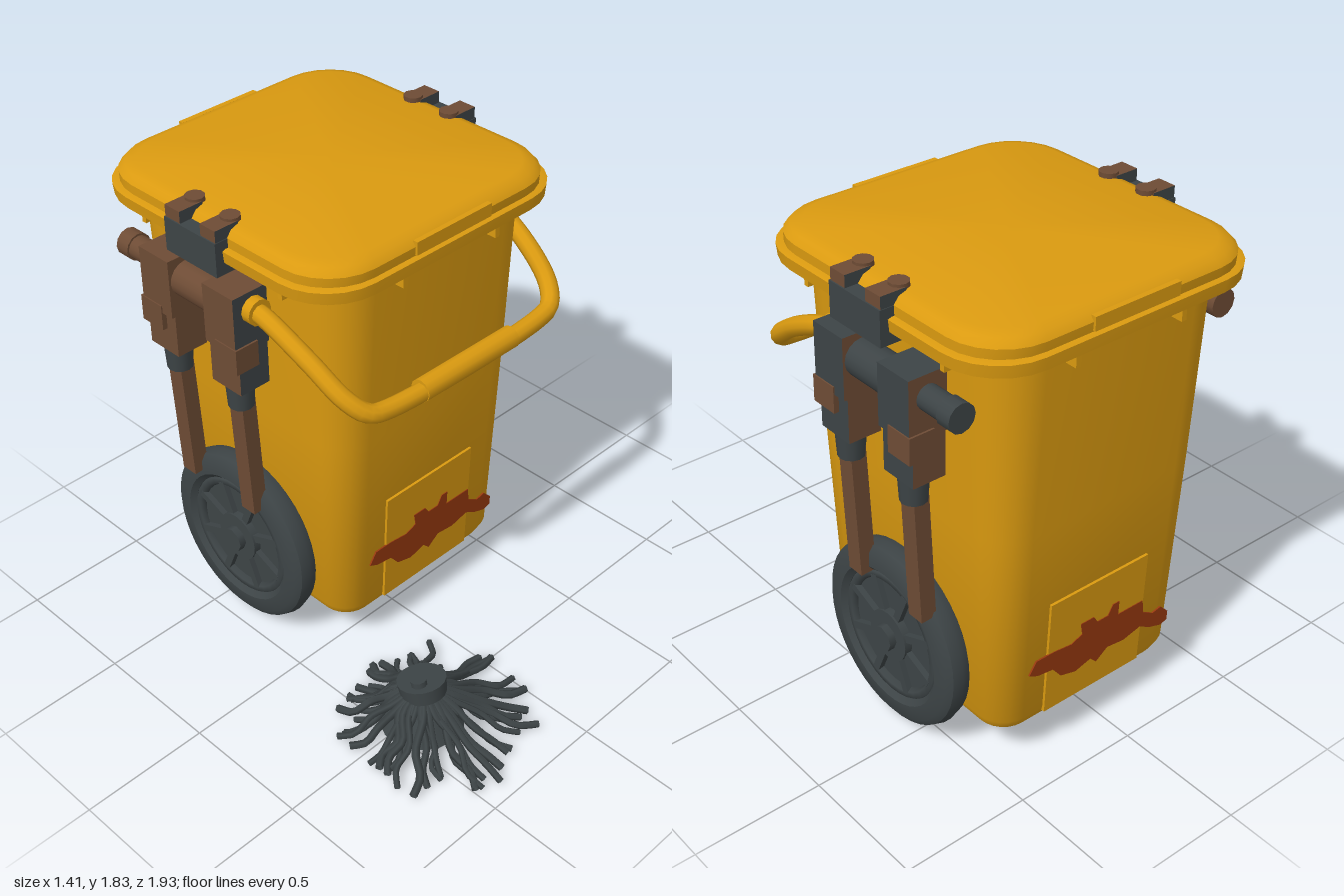
import * as THREE from 'three';
import { toCreasedNormals } from 'three/addons/utils/BufferGeometryUtils.js';

const yellow = new THREE.MeshStandardMaterial({ color: 0xda9a10 });
const dark = new THREE.MeshStandardMaterial({ color: 0x3d4446, side: THREE.DoubleSide });
const brown = new THREE.MeshStandardMaterial({ color: 0x6e4c35 });
const stainRed = new THREE.MeshStandardMaterial({ color: 0x98390f });
yellow.name = 'yellow plastic';
dark.name = 'dark rubber';
brown.name = 'rusty brown';
stainRed.name = 'red stain';

const CX = 0.07, CZ = -0.38;

function add(parent, name, geo, mat, x = 0, y = 0, z = 0) {
  const m = new THREE.Mesh(geo, mat);
  m.name = name;
  m.position.set(x, y, z);
  parent.add(m);
  return m;
}
const box = (w, h, d) => new THREE.BoxGeometry(w, h, d);
const cylX = (r, len, n = 16) => new THREE.CylinderGeometry(r, r, len, n).rotateZ(Math.PI / 2);
const cylZ = (r, len, n = 16) => new THREE.CylinderGeometry(r, r, len, n).rotateX(Math.PI / 2);

// Rounded-rectangle sections [y, halfX, halfZ, cornerRadius] lofted upward and capped
function loft(sections, n = 6) {
  const pos = [], idx = [], count = 4 * (n + 1);
  for (const [y, hx, hz, r] of sections)
    for (let c = 0; c < 4; c++)
      for (let i = 0; i <= n; i++) {
        const a = (c + i / n) * Math.PI / 2;
        const sx = c === 0 || c === 3 ? 1 : -1, sz = c < 2 ? 1 : -1;
        pos.push(sx * (hx - r) + r * Math.cos(a), y, sz * (hz - r) + r * Math.sin(a));
      }
  for (let s = 0; s < sections.length - 1; s++)
    for (let i = 0; i < count; i++) {
      const a = s * count + i, b = s * count + (i + 1) % count;
      idx.push(a, a + count, b, b, a + count, b + count);
    }
  const last = sections.length - 1, base = pos.length / 3;
  pos.push(0, sections[0][0], 0, 0, sections[last][0], 0);
  for (let i = 0; i < count; i++) {
    const j = (i + 1) % count;
    idx.push(base, i, j, base + 1, last * count + j, last * count + i);
  }
  const g = new THREE.BufferGeometry();
  g.setAttribute('position', new THREE.Float32BufferAttribute(pos, 3));
  g.setIndex(idx);
  return toCreasedNormals(g, 0.6);
}

// Spoked wheel with its axle along x; s is the side it faces
function makeWheel(s) {
  const wheel = new THREE.Group();
  const profile = [[0.25, -0.035], [0.27, -0.055], [0.325, -0.052], [0.35, -0.035], [0.36, 0],
    [0.35, 0.035], [0.325, 0.052], [0.27, 0.055], [0.25, 0.035], [0.25, -0.035]]
    .map(([r, t]) => new THREE.Vector2(r, t));
  add(wheel, 'tire', toCreasedNormals(new THREE.LatheGeometry(profile, 40).rotateZ(Math.PI / 2), 0.6), dark);
  add(wheel, 'wheelDisc', cylX(0.255, 0.035, 32), dark);
  add(wheel, 'wheelRing', new THREE.TorusGeometry(0.235, 0.022, 6, 32).rotateY(Math.PI / 2), dark, s * 0.02);
  for (let i = 0; i < 8; i++) {
    const spoke = box(0.08, 0.14, 0.03).translate(0, 0.16, 0).rotateX((i + 0.5) * Math.PI / 4);
    add(wheel, 'spoke', spoke, dark);
  }
  add(wheel, 'hub', cylX(0.1, 0.095, 20), dark);
  add(wheel, 'hubBolt', cylX(0.05, 0.04, 8), dark, s * 0.055);
  return wheel;
}

// Fork, housings, crossbar, lid clip and wheel of one side
function makeSide(s) {
  const side = new THREE.Group();
  side.name = s > 0 ? 'leftWheelAssembly' : 'rightWheelAssembly';
  const wheel = makeWheel(s);
  wheel.name = 'wheel';
  wheel.position.set(s * 0.48, 0.38, 0);
  side.add(wheel);
  const outer = s > 0 ? dark : brown;
  for (const [z, front] of [[0.125, true], [-0.21, false]]) {
    const faces = [outer, outer, outer, dark, front ? dark : brown, brown];
    const leg = add(side, 'forkLeg', box(0.062, 0.58, 0.07), brown, s * 0.55, 0.9, z);
    leg.rotation.z = -s * 0.05;
    add(side, 'forkSleeve', new THREE.CylinderGeometry(0.055, 0.048, 0.12, 12), dark, s * 0.565, 1.16, z);
    add(side, 'lowerHousing', box(0.13, 0.18, 0.15), faces, s * 0.56, 1.29, z);
    add(side, 'housingCollar', box(0.1, 0.1, 0.11), brown, s * 0.595, 1.35, z + (front ? 0.03 : -0.03));
    add(side, 'upperHousing', box(0.15, 0.23, 0.155), faces, s * 0.565, 1.485, z);
    add(side, 'housingBracket', box(0.14, 0.1, 0.08), dark, s * 0.49, 1.48, z);
  }
  add(side, 'crossbar', cylZ(0.068, 0.24), outer, s * 0.565, 1.51, -0.04);
  add(side, 'crossbarEnd', cylZ(0.045, 0.13), outer, s * 0.565, 1.52, -0.33);
  add(side, 'crossbarKnob', cylZ(0.053, 0.06, 12), s > 0 ? dark : brown, s * 0.565, 1.52, -0.42);
  add(side, 'handlePivot', cylZ(0.05, 0.05, 12), yellow, s * 0.555, 1.53, 0.215);

  // Lid clip with two hooks
  add(side, 'lidClip', box(0.08, 0.13, 0.26), dark, s * 0.59, 1.71, -0.01);
  for (const z of [0.08, -0.1]) {
    add(side, 'clipHook', box(0.1, 0.07, 0.075), [brown, brown, brown, dark, dark, dark], s * 0.575, 1.785, z);
    add(side, 'clipHookTip', new THREE.CylinderGeometry(0.036, 0.036, 0.06, 10), brown, s * 0.525, 1.8, z);
  }
  return side;
}

// Panel and stain on a tilted wall face
function makeWallDetails() {
  const wall = new THREE.Group();
  wall.position.set(0, 0.2, 0.485);
  wall.rotation.x = 0.041;
  add(wall, 'panel', box(0.45, 0.48, 0.014), yellow, 0, 0.235, 0);
  const pts = [[-0.31, 0.21], [-0.28, 0.26], [-0.2, 0.26], [-0.12, 0.25], [-0.07, 0.27], [-0.08, 0.32], [-0.02, 0.32],
    [0, 0.29], [0.05, 0.29], [0.07, 0.33], [0.1, 0.33], [0.1, 0.27], [0.22, 0.27], [0.23, 0.21], [0.28, 0.18], [0.32, 0.19],
    [0.36, 0.15], [0.36, 0.11], [0.33, 0.1], [0.27, 0.12], [0.22, 0.15], [0.14, 0.13], [0.06, 0.14], [0.01, 0.1], [-0.02, 0.13],
    [-0.09, 0.11], [-0.16, 0.13], [-0.2, 0.18], [-0.27, 0.19]].map(([x, y]) => new THREE.Vector2(x, y));
  add(wall, 'stain', new THREE.ExtrudeGeometry(new THREE.Shape(pts), { depth: 0.006, bevelEnabled: false }), stainRed, 0, 0, 0.004);
  return wall;
}

function makeMop() {
  const mop = new THREE.Group();
  mop.name = 'mopHead';
  mop.position.set(-0.39, 0, 0.54);
  let seed = 7;
  const rnd = () => (seed = (seed * 16807) % 2147483647) / 2147483647;
  add(mop, 'mopCore', new THREE.CylinderGeometry(0.07, 0.16, 0.15, 14), dark, 0, 0.1, 0);
  const cap = add(mop, 'mopCap', new THREE.CylinderGeometry(0.092, 0.085, 0.06, 18), dark, 0, 0.195, 0);
  const stud = add(mop, 'mopStud', new THREE.CylinderGeometry(0.03, 0.03, 0.03, 10), dark, -0.03, 0.235, 0.01);
  cap.rotation.x = stud.rotation.x = -0.22;
  // Drooping strands, longer toward +x and +z
  for (let i = 0; i < 54; i++) {
    const a = (i + rnd() * 0.8) / 54 * Math.PI * 2;
    const dx = Math.cos(a), dz = Math.sin(a);
    const len = (0.36 + 0.05 * dx + 0.04 * dz) * (0.72 + 0.32 * rnd());
    const bend = (rnd() - 0.5) * 0.15, lift = rnd() * 0.04;
    const at = (r, y, b) => new THREE.Vector3(dx * r - dz * b, y, dz * r + dx * b);
    const curve = new THREE.CatmullRomCurve3([at(0.05, 0.18, 0), at(0.12, 0.13 + lift * 0.4, bend * 0.1),
      at(len * 0.6, 0.045 + lift, bend * 0.7), at(len * 0.82, 0.022 + lift * 0.4, bend * 0.5), at(len, 0.015, bend)]);
    add(mop, 'strand', new THREE.TubeGeometry(curve, 12, 0.011 + rnd() * 0.005, 5), dark);
  }
  return mop;
}

export function createModel() {
  const model = new THREE.Group();
  const bin = new THREE.Group();
  bin.name = 'wheeledBin';
  bin.position.set(CX, 0, CZ);
  model.add(bin, makeMop());

  // Tapered body, rim and lid
  add(bin, 'body', loft([[0.15, 0.37, 0.43, 0.09], [0.165, 0.4, 0.46, 0.1], [0.21, 0.422, 0.482, 0.11],
    [1.0, 0.46, 0.515, 0.14], [1.69, 0.485, 0.547, 0.17]]), yellow);
  add(bin, 'rim', loft([[1.685, 0.57, 0.585, 0.2], [1.69, 0.595, 0.61, 0.22], [1.735, 0.6, 0.612, 0.22], [1.74, 0.585, 0.6, 0.22]]), yellow);
  add(bin, 'lid', loft([[1.735, 0.575, 0.592, 0.21], [1.775, 0.575, 0.595, 0.21], [1.8, 0.555, 0.575, 0.2],
    [1.812, 0.52, 0.54, 0.18]]), yellow);
  for (const s of [1, -1]) {
    add(bin, 'lidTab', box(0.36, 0.05, 0.02), yellow, 0, 1.77, s * 0.593);
    for (const x of [-0.22, 0.23]) add(bin, 'rimRib', box(0.02, 0.06, 0.06), yellow, x, 1.665, s * 0.56);
    for (const z of [-0.35, 0.35]) add(bin, 'rimRib', box(0.08, 0.06, 0.02), yellow, s * 0.52, 1.665, z);
  }

  // Front and back wall details, plus a speck on each side wall
  for (const [name, turn] of [['frontWall', 0], ['backWall', Math.PI]]) {
    const wall = new THREE.Group();
    wall.name = name;
    wall.rotation.y = turn;
    wall.add(makeWallDetails());
    add(wall, 'sideSpeck', cylX(0.03, 0.008, 7), stainRed, 0.428, 0.28, 0.35);
    bin.add(wall);
  }

  // Both wheel assemblies and the axle
  bin.add(makeSide(1), makeSide(-1));
  add(bin, 'axle', cylX(0.035, 0.94), dark, 0, 0.38, 0);

  // Swing handle with a thicker grip
  const half = [[0.555, 1.53, 0.2], [0.555, 1.52, 0.27], [0.54, 1.43, 0.46], [0.51, 1.33, 0.6], [0.46, 1.28, 0.655], [0.38, 1.265, 0.67]];
  const path = [...half.map(([x, y, z]) => new THREE.Vector3(-x, y, z)),
    ...half.reverse().map(([x, y, z]) => new THREE.Vector3(x, y, z))];
  const curve = new THREE.CatmullRomCurve3(path, false, 'centripetal');
  add(bin, 'handle', new THREE.TubeGeometry(curve, 70, 0.035, 10), yellow);
  add(bin, 'handleGrip', cylX(0.043, 0.46, 12), yellow, 0, 1.262, 0.672);
  return model;
}
